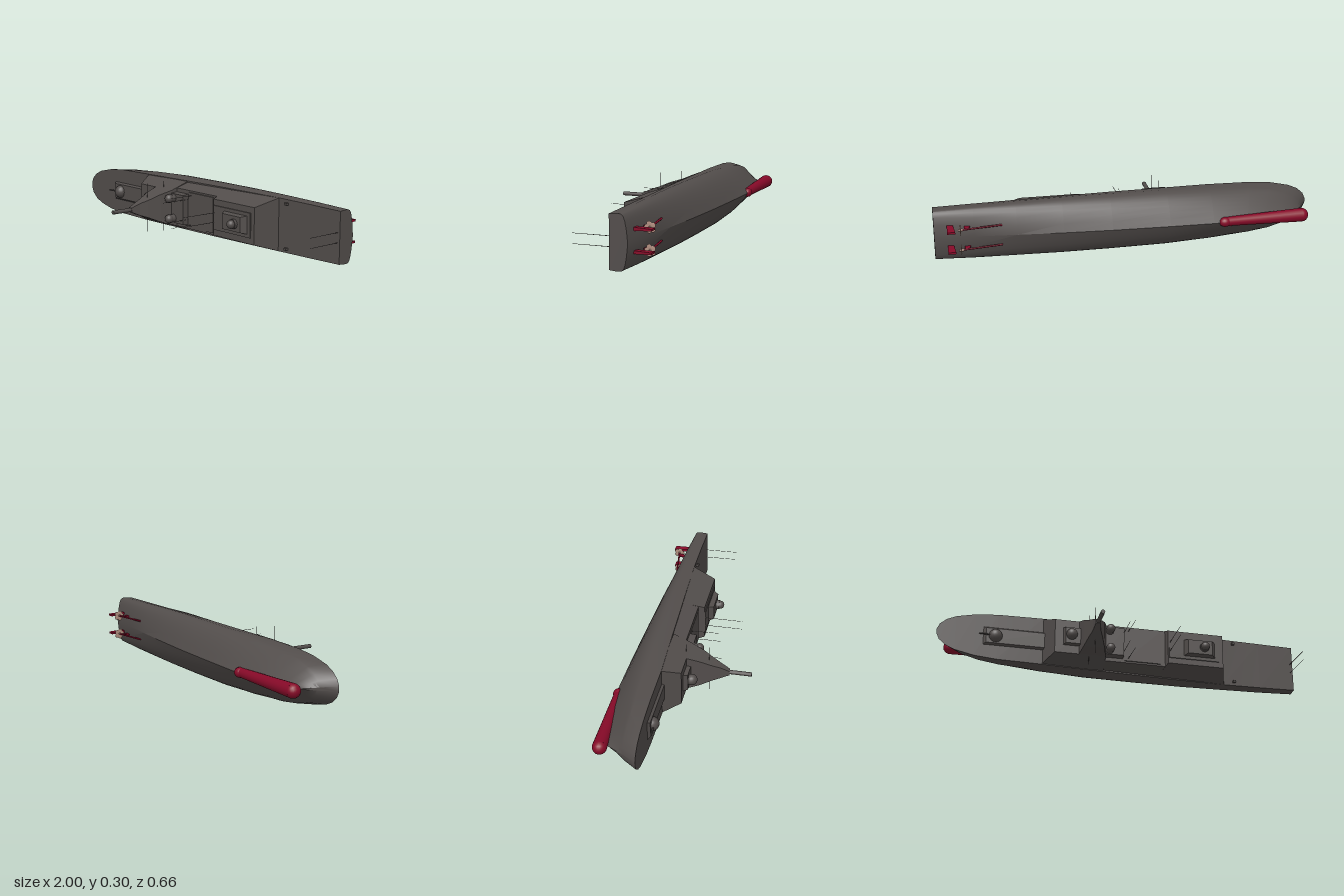
import * as THREE from 'three';
import { toCreasedNormals } from 'three/addons/utils/BufferGeometryUtils.js';

// Built upright: x runs bow (-) to stern (+), y is the ship's up, z is the beam.
export function createModel() {
  const model = new THREE.Group();
  const ship = new THREE.Group();
  ship.name = 'warship';
  ship.rotation.x = Math.PI / 2; // the ship's masts point to the front
  ship.position.y = 0.15;
  model.add(ship);

  const mat = (name, color) => {
    const m = new THREE.MeshStandardMaterial({ color });
    m.name = name;
    return m;
  };
  const grey = mat('hull grey', 0x524d4b);
  const red = mat('underwater red', 0x860a28);
  const bronze = mat('propeller bronze', 0xb08d7e);

  const add = (name, geo, material, x = 0, y = 0, z = 0) => {
    const m = new THREE.Mesh(geo, material);
    m.name = name;
    m.position.set(x, y, z);
    ship.add(m);
    return m;
  };
  // Tapered block; each end is [x0, x1, half width, height]
  const block = (name, bottom, top, material = grey, z = 0) => {
    const g = new THREE.BoxGeometry(1, 1, 1);
    const p = g.attributes.position;
    for (let i = 0; i < p.count; i++) {
      const e = p.getY(i) > 0 ? top : bottom;
      p.setXYZ(i, p.getX(i) > 0 ? e[1] : e[0], e[3], Math.sign(p.getZ(i)) * e[2]);
    }
    g.computeVertexNormals();
    return add(name, g, material, 0, 0, z);
  };
  // Round bar between two points
  const bar = (name, a, b, r0, r1, material = grey, sides = 6) => {
    const from = new THREE.Vector3(...a), to = new THREE.Vector3(...b);
    const dir = to.clone().sub(from);
    const mid = from.clone().add(to).multiplyScalar(0.5);
    const m = add(name, new THREE.CylinderGeometry(r1, r0, dir.length(), sides), material, mid.x, mid.y, mid.z);
    m.quaternion.setFromUnitVectors(new THREE.Vector3(0, 1, 0), dir.normalize());
    return m;
  };
  const ball = (name, r, x, y, z, material = grey) =>
    add(name, new THREE.SphereGeometry(r, 16, 12), material, x, y, z);

  // Hull stations: x, deck height, deck half width, knuckle half width, keel height, fullness
  const stations = [
    [-1, -0.09, 0.012, 0.008, -0.25, 0.9],
    [-0.985, -0.09, 0.045, 0.035, -0.255, 0.9],
    [-0.95, -0.09, 0.075, 0.062, -0.265, 0.95],
    [-0.9, -0.09, 0.097, 0.085, -0.275, 1],
    [-0.8, -0.09, 0.119, 0.11, -0.29, 1.1],
    [-0.68, -0.09, 0.13, 0.126, -0.305, 1.3],
    [-0.44, -0.09, 0.134, 0.14, -0.314, 1.7],
    [-0.2, -0.1, 0.136, 0.148, -0.309, 2.1],
    [0.1, -0.11, 0.138, 0.15, -0.299, 2.3],
    [0.35, -0.12, 0.138, 0.149, -0.284, 2.6],
    [0.585, -0.128, 0.137, 0.145, -0.263, 3],
    [0.8, -0.13, 0.134, 0.139, -0.243, 4],
    [1, -0.13, 0.13, 0.133, -0.222, 5],
  ];
  const levels = 9;
  const rings = stations.map(([x, deck, dw, kw, keel, full]) => {
    const knuckle = -0.165;
    const half = [[deck, dw]];
    for (let i = 0; i < levels; i++) {
      const t = i / (levels - 1);
      half.push([knuckle + (keel - knuckle) * t, Math.max(0, kw * (1 - t ** full))]);
    }
    const rake = 0.65 * Math.max(0, Math.min(1, (-0.4 - x) / 0.6));
    const ring = [...half, ...half.slice(0, -1).reverse().map(([y, z]) => [y, -z])];
    return ring.map(([y, z]) => [x + (deck - y) * rake, y, z]);
  });
  const n = rings[0].length;
  const idx = [];
  for (let i = 0; i < rings.length - 1; i++) {
    for (let j = 0; j < n; j++) {
      const a = i * n + j, b = i * n + (j + 1) % n;
      idx.push(a, b, a + n, b, b + n, a + n);
    }
  }
  for (let j = 1; j < n - 1; j++) { // bow and transom caps
    const e = (rings.length - 1) * n;
    idx.push(0, j + 1, j, e, e + j, e + j + 1);
  }
  let hull = new THREE.BufferGeometry();
  hull.setAttribute('position', new THREE.Float32BufferAttribute(rings.flat(2), 3));
  hull.setIndex(idx);
  hull = toCreasedNormals(hull, 0.45);
  add('hull', hull, grey);

  // Superstructure
  block('forwardSuperstructure', [-0.44, -0.1, 0.134, -0.1], [-0.385, -0.11, 0.095, 0]);
  block('middleSuperstructure', [-0.12, 0.25, 0.136, -0.125], [-0.12, 0.25, 0.105, -0.032]);
  block('hangar', [0.2, 0.588, 0.137, -0.13], [0.235, 0.545, 0.096, 0]);
  block('middleDeckHouse', [0, 0.2, 0.098, -0.04], [0, 0.2, 0.095, -0.027]);
  block('sensorPlatform', [-0.11, -0.01, 0.085, -0.04], [-0.11, -0.01, 0.08, 0.005]);
  block('hangarHouse', [0.24, 0.52, 0.066, -0.01], [0.24, 0.52, 0.064, 0.005]);
  block('rearMount', [0.32, 0.5, 0.048, 0], [0.34, 0.475, 0.04, 0.033]);
  block('foredeckHouse', [-0.76, -0.42, 0.055, -0.095], [-0.74, -0.42, 0.042, -0.078]);
  block('bridgeRoof', [-0.34, -0.25, 0.05, 0], [-0.33, -0.25, 0.045, 0.022]);

  // Faceted tower and mast
  const tower = [
    [-0.255, -0.11, 0.095, 0], [-0.242, -0.13, 0.075, 0.065], [-0.226, -0.155, 0.047, 0.13],
    [-0.216, -0.172, 0.033, 0.17], [-0.21, -0.185, 0.012, 0.217],
  ];
  for (let i = 1; i < tower.length; i++) block('tower', tower[i - 1], tower[i], grey);
  bar('mast', [-0.197, 0.2, 0], [-0.197, 0.333, 0], 0.011, 0.011, grey, 12);

  // Radar domes
  ball('bridgeDome', 0.03, -0.3, 0.036, 0);
  ball('rearDome', 0.023, 0.43, 0.053, 0);
  add('rearDomeBase', new THREE.CylinderGeometry(0.026, 0.026, 0.03, 12), grey, 0.43, 0.034, 0);

  // Foredeck gun
  ball('gunTurret', 0.037, -0.69, -0.082, 0);
  bar('gunBarrel', [-0.71, -0.07, 0], [-0.78, -0.065, 0], 0.005, 0.004);

  for (const s of [-1, 1]) {
    ball('sideDome', 0.024, -0.09, 0.036, s * 0.056);
    add('sideDomeBase', new THREE.CylinderGeometry(0.02, 0.024, 0.04, 12), grey, -0.09, 0.015, s * 0.056);
    // Yards and whip aerials
    bar('yard', [-0.19, 0.107, s * 0.04], [-0.19, 0.107, s * 0.133], 0.0018, 0.0012);
    bar('sideAerial', [-0.2, -0.013, s * 0.09], [-0.2, -0.013, s * 0.145], 0.0018, 0.0012);
    bar('forwardWhip', [-0.01, -0.04, s * 0.055], [-0.01, 0.14, s * 0.055], 0.0016, 0.001);
    bar('middleWhip', [0.02, -0.04, s * 0.08], [0.026, 0.115, s * 0.08], 0.0016, 0.001);
    bar('rearWhip', [0.245, -0.01, s * 0.025], [0.245, 0.21, s * 0.025], 0.0016, 0.001);
    bar('sternWhip', [0.985, -0.135, s * 0.025], [0.99, 0.06, s * 0.025], 0.0016, 0.001);
    block('deckLocker', [0.64, 0.655, 0.006, -0.132], [0.64, 0.655, 0.006, -0.112], grey, s * 0.115);

    // Shafts, propellers and rudders
    bar('propellerShaft', [0.66, -0.246, s * 0.054], [0.875, -0.276, s * 0.054], 0.005, 0.005, red, 8);
    block('shaftBracket', [0.83, 0.85, 0.003, -0.275], [0.82, 0.85, 0.003, -0.235], red, s * 0.054);
    bar('propellerHub', [0.86, -0.274, s * 0.054], [0.882, -0.277, s * 0.054], 0.008, 0.005, bronze, 8);
    for (let k = 0; k < 5; k++) {
      const blade = add('propellerBlade', new THREE.SphereGeometry(0.5, 10, 6), bronze, 0.87, -0.276, s * 0.054);
      blade.geometry.translate(0, 0.5, 0);
      blade.scale.set(0.004, 0.03, 0.03);
      blade.rotation.x = k * Math.PI * 0.4;
    }
    block('rudder', [0.897, 0.937, 0.005, -0.31], [0.905, 0.935, 0.008, -0.22], red, s * 0.054);
  }

  // Sonar bulb under the bow
  ball('sonarNose', 0.036, -0.912, -0.285, 0, red);
  bar('sonarBody', [-0.912, -0.285, 0], [-0.5, -0.299, 0], 0.036, 0.024, red, 20);
  ball('sonarTail', 0.026, -0.49, -0.303, 0, red).scale.x = 1.2;

  return model;
}
